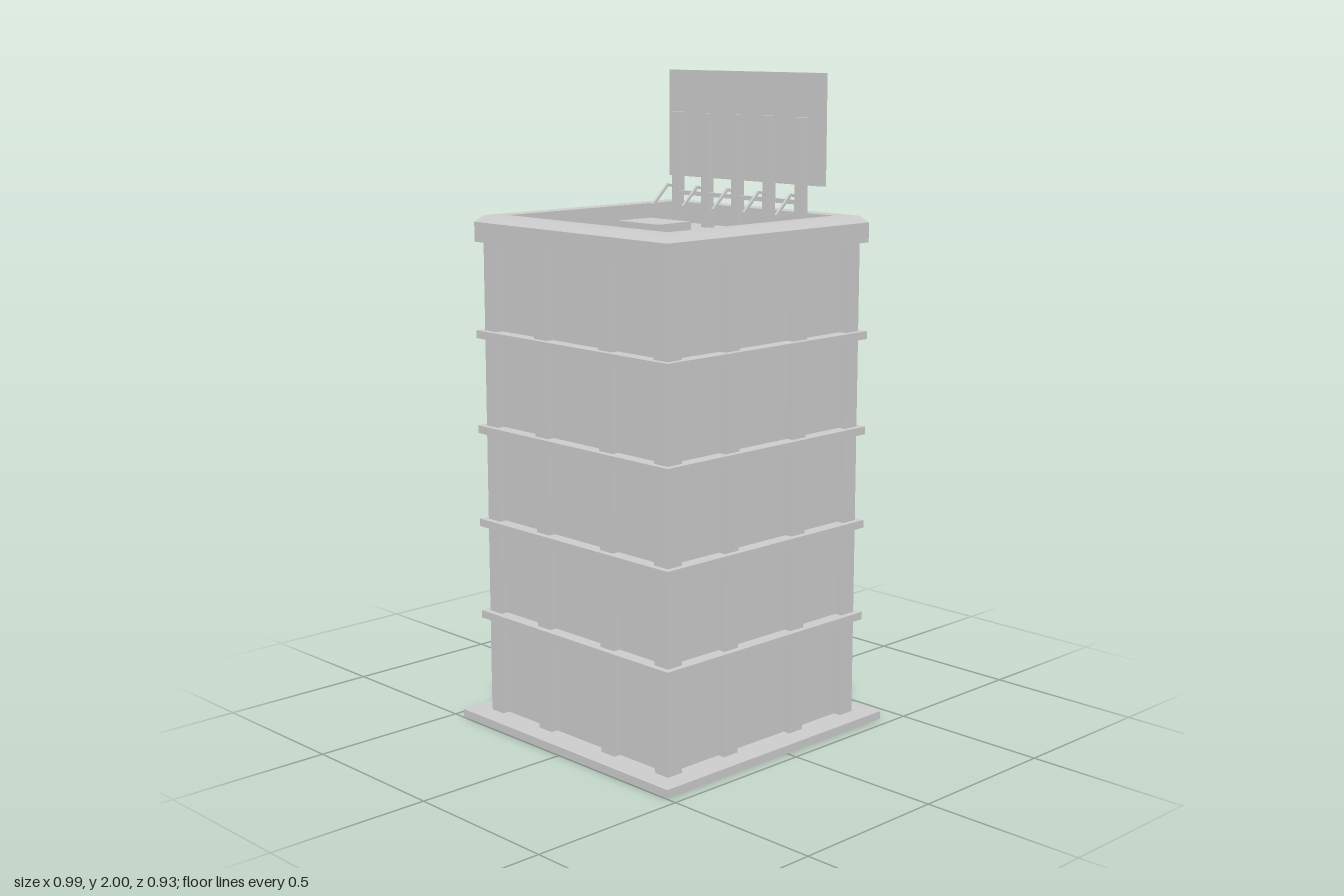
import * as THREE from 'three';

const CX = -0.033; // centre line of the tower
const mat = new THREE.MeshStandardMaterial({ color: 0xcccccc, flatShading: true });

function add(parent, name, geometry) {
  const mesh = new THREE.Mesh(geometry, mat);
  mesh.name = name;
  parent.add(mesh);
  return mesh;
}

// Box given by its minimum and maximum corners
function box(parent, name, x0, x1, y0, y1, z0, z1) {
  const g = new THREE.BoxGeometry(x1 - x0, y1 - y0, z1 - z0);
  g.translate((x0 + x1) / 2, (y0 + y1) / 2, (z0 + z1) / 2);
  return add(parent, name, g);
}

// Square bar between two points in the xy plane
function bar(parent, name, a, b, z, t) {
  const dx = b[0] - a[0], dy = b[1] - a[1];
  const g = new THREE.BoxGeometry(Math.hypot(dx, dy) + t * 0.6, t, t);
  g.rotateZ(Math.atan2(dy, dx));
  g.translate((a[0] + b[0]) / 2, (a[1] + b[1]) / 2, z);
  return add(parent, name, g);
}

function createTower() {
  const tower = new THREE.Group();
  tower.name = 'tower';
  tower.position.x = CX;
  box(tower, 'groundSlab', -0.463, 0.463, 0, 0.025, -0.463, 0.463);
  box(tower, 'walls', -0.375, 0.375, 0.025, 1.51, -0.375, 0.375);

  // Floor ledges
  for (let i = 0; i < 4; i++) {
    const y = 0.325 + i * 0.294;
    box(tower, 'floorLedge', -0.418, 0.418, y, y + 0.024, -0.418, 0.418);
  }

  // Corner pillars
  for (const sx of [-1, 1]) for (const sz of [-1, 1]) {
    const x = sx * 0.3715, z = sz * 0.3715, h = 0.0275;
    box(tower, 'cornerPillar', x - h, x + h, 0.025, 1.505, z - h, z + h);
  }

  // Two pillars on each side; the entrance side starts above the ground floor
  for (let side = 0; side < 4; side++) {
    const face = new THREE.Group();
    face.name = 'wallSide';
    face.rotation.y = side * Math.PI / 2;
    for (const s of [-1, 1]) {
      const z = s * 0.1415;
      box(face, 'pillar', 0.36, 0.398, side === 0 ? 0.33 : 0.025, 1.505, z - 0.0285, z + 0.0285);
    }
    tower.add(face);
  }

  // Bevelled parapet with the sunken roof
  const profile = [[0.37, 1.5], [0.418, 1.5], [0.418, 1.56], [0.397, 1.58],
    [0.343, 1.58], [0.343, 1.515], [0, 1.515]];
  const parapet = new THREE.LatheGeometry(
    profile.map(([r, y]) => new THREE.Vector2(r * Math.SQRT2, y)), 4);
  parapet.rotateY(Math.PI / 4);
  add(tower, 'parapetAndRoof', parapet);
  return tower;
}

function createEntrance() {
  const entrance = new THREE.Group();
  entrance.name = 'entrance';
  for (const s of [-1, 1]) {
    box(entrance, 'doorFrameSide', 0.335, 0.377, 0.025, 0.326, s * 0.165 - 0.006, s * 0.165 + 0.006);
  }

  // Curved canopy, narrowing towards its front edge
  const top = [[0.34, 0.326], [0.38, 0.32], [0.415, 0.312], [0.445, 0.303], [0.493, 0.281]];
  const under = top.map(([x, y]) => [x, y - 0.012]).reverse();
  const shape = new THREE.Shape([...top, ...under].map(([x, y]) => new THREE.Vector2(x, y)));
  const canopy = new THREE.ExtrudeGeometry(shape, { depth: 2, bevelEnabled: false });
  canopy.translate(0, 0, -1);
  const p = canopy.attributes.position;
  for (let i = 0; i < p.count; i++) {
    const x = p.getX(i);
    const half = x < 0.38 ? 0.165
      : x < 0.445 ? 0.163 - (x - 0.38) * 0.57 : 0.126 - (x - 0.445) * 0.77;
    p.setZ(i, p.getZ(i) * half);
  }
  canopy.computeVertexNormals();
  add(entrance, 'canopy', canopy);
  return entrance;
}

function createBillboard() {
  const board = new THREE.Group();
  board.name = 'billboard';
  box(board, 'panel', 0.275, 0.292, 1.667, 2, -0.327, 0.327);
  box(board, 'rail', 0.245, 0.257, 1.611, 1.624, -0.263, 0.263);
  const path = [[0.143, 1.51], [0.143, 1.585], [0.204, 1.643], [0.245, 1.636]];
  for (let i = -2; i <= 2; i++) {
    const z = i * 0.132;
    box(board, 'post', 0.238, 0.264, 1.51, 1.87, z - 0.015, z + 0.015);
    // Bent brace from the roof to the post
    for (let k = 0; k < 3; k++) bar(board, 'brace', path[k], path[k + 1], z, 0.008);
  }
  return board;
}

export function createModel() {
  const model = new THREE.Group();
  model.name = 'officeBuilding';
  model.add(createTower(), createEntrance(), createBillboard());
  box(model, 'roofUnit', -0.31, -0.182, 1.51, 1.588, 0.068, 0.235);
  return model;
}
